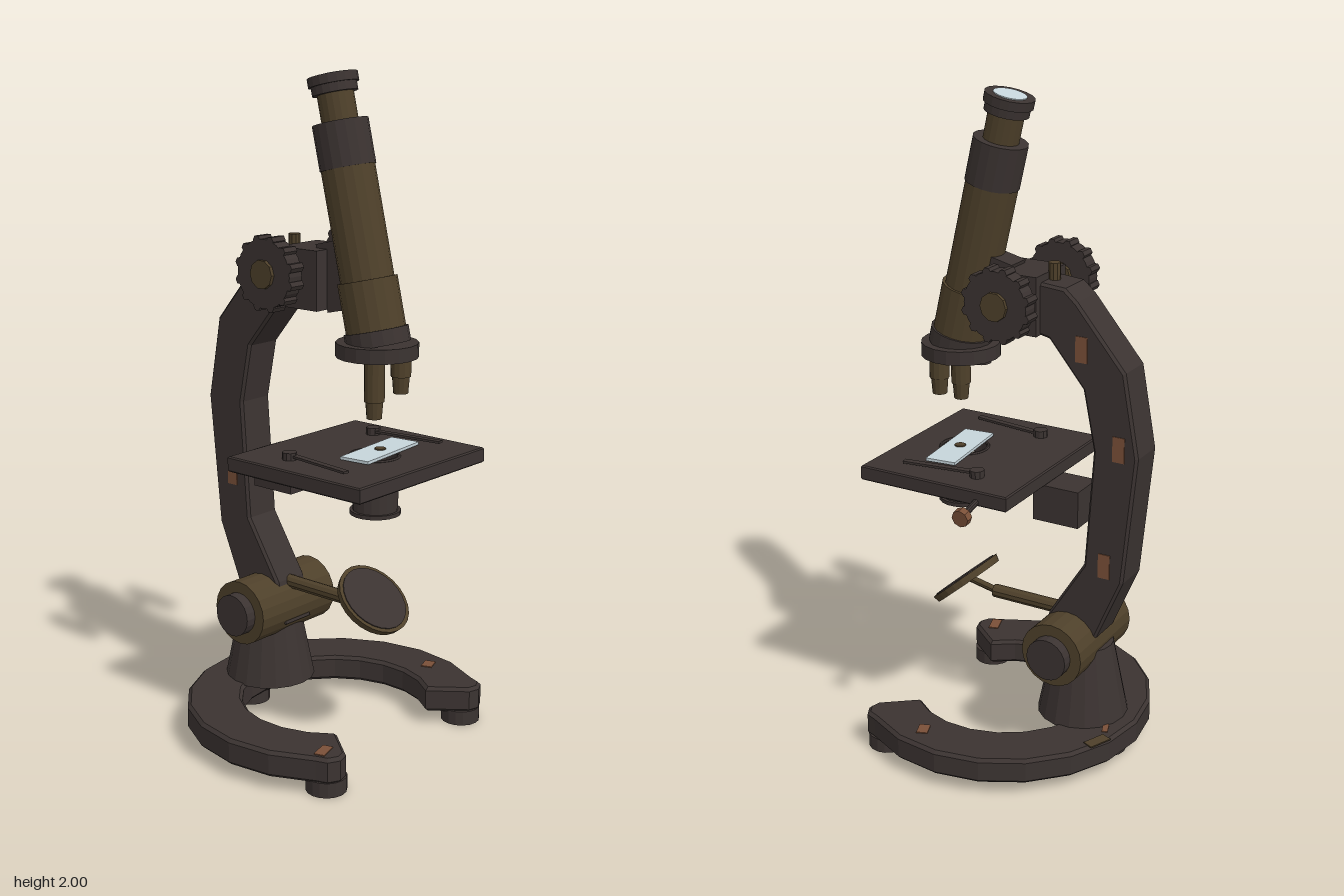
import * as THREE from 'three';

export function createModel() {
  const model = new THREE.Group();
  model.name = 'microscope';
  const mat = (name, color) => {
    const m = new THREE.MeshStandardMaterial({ color, flatShading: true });
    m.name = name;
    return m;
  };
  const iron = mat('dark iron', 0x3b3331);
  const brass = mat('aged brass', 0x4e402a);
  const copper = mat('copper', 0x7a5038);
  const glass = mat('pale glass', 0xc6d4da);

  // helpers
  const add = (name, geo, material, x = 0, y = 0, z = 0, parent = model) => {
    const m = new THREE.Mesh(geo, material);
    m.name = name;
    m.position.set(x, y, z);
    parent.add(m);
    return m;
  };
  const box = (w, h, d) => new THREE.BoxGeometry(w, h, d);
  const cyl = (rTop, rBottom, h, n = 20) => new THREE.CylinderGeometry(rTop, rBottom, h, n);
  const cylX = (r, h, n = 20) => cyl(r, r, h, n).rotateZ(Math.PI / 2);
  const rod = (name, a, b, r, material) => {
    const va = new THREE.Vector3(...a), vb = new THREE.Vector3(...b);
    const dir = vb.clone().sub(va);
    const m = add(name, cyl(r, r, dir.length(), 10), material);
    m.position.copy(va).add(vb).multiplyScalar(0.5);
    m.quaternion.setFromUnitVectors(new THREE.Vector3(0, 1, 0), dir.normalize());
    return m;
  };
  const extrude = (shape, depth, bevel) => new THREE.ExtrudeGeometry(shape, {
    depth: depth - 2 * bevel, bevelEnabled: true, bevelThickness: bevel,
    bevelSize: bevel, bevelOffset: -bevel, bevelSegments: 1, curveSegments: 20,
  });

  // horseshoe base, open to the front
  const pts = [];
  const arc = (r, from, to, n) => {
    for (let i = 0; i <= n; i++) {
      const a = THREE.MathUtils.degToRad(from + (to - from) * i / n);
      pts.push(new THREE.Vector2(r * Math.cos(a), 0.065 + r * Math.sin(a)));
    }
  };
  const tip = [[0.365, 0.354], [0.33, 0.372], [0.295, 0.362]];
  tip.slice().reverse().forEach(([x, z]) => pts.push(new THREE.Vector2(x, z)));
  arc(0.455, 34, -214, 14);
  tip.forEach(([x, z]) => pts.push(new THREE.Vector2(-x, z)));
  arc(0.285, -222, 42, 16);
  const base = extrude(new THREE.Shape(pts), 0.08, 0.01).rotateX(Math.PI / 2);
  add('horseshoeBase', base, iron, 0, 0.11, 0);
  for (const [x, z] of [[-0.32, 0.31], [0.32, 0.31], [0, -0.29]]) {
    add('foot', cyl(0.06, 0.06, 0.045, 16), iron, x, 0.0225, z);
  }

  // pillar and tilting joint
  add('pillar', cyl(0.092, 0.14, 0.24, 18), iron, 0, 0.235, -0.205);
  add('jointBarrel', cylX(0.1, 0.326), brass, 0, 0.365, -0.18);
  add('jointCaps', cylX(0.065, 0.394), iron, 0, 0.365, -0.18);

  // curved arm, drawn as (z, y)
  const profile = [
    [-0.04, 1.48], [-0.16, 1.47], [-0.20, 1.435], [-0.355, 1.25], [-0.40, 1.0],
    [-0.36, 0.6], [-0.275, 0.40], [-0.2, 0.3], [-0.085, 0.32], [-0.115, 0.45],
    [-0.232, 0.635], [-0.258, 1.0], [-0.222, 1.18], [-0.11, 1.315], [-0.04, 1.33],
  ].map(p => new THREE.Vector2(...p));
  const arm = extrude(new THREE.Shape(profile), 0.125, 0.008).rotateY(-Math.PI / 2);
  add('arm', arm, iron, 0.0545, 0, 0);

  // focus block, axle and knurled knobs
  add('focusBlock', box(0.172, 0.175, 0.15), iron, 0, 1.41, -0.008);
  add('tubeSlide', box(0.08, 0.2, 0.08), iron, 0, 1.42, 0.085).rotation.x = -0.232;
  add('blockScrew', cyl(0.018, 0.018, 0.05, 10), brass, 0, 1.5, -0.095);
  add('focusAxle', cylX(0.025, 0.4, 12), iron, 0, 1.437, -0.022);
  for (const s of [-1, 1]) {
    const knob = new THREE.Group();
    knob.name = 'focusKnob';
    knob.position.set(s * 0.187, 1.437, -0.022);
    model.add(knob);
    add('knobDisc', cylX(0.1, 0.052, 24), iron, 0, 0, 0, knob);
    add('knobHub', cylX(0.042, 0.074, 10), brass, 0, 0, 0, knob);
    for (let i = 0; i < 12; i++) {
      const a = (i + 0.5) * Math.PI / 6;
      add('knurl', cylX(0.014, 0.052, 6), iron, 0, 0.098 * Math.sin(a), 0.098 * Math.cos(a), knob);
    }
  }

  // inclined body tube: [name, start, end, radius, material] along its axis
  const tube = new THREE.Group();
  tube.name = 'bodyTube';
  tube.position.set(0, 1.243, 0.225);
  tube.rotation.x = -0.232;
  model.add(tube);
  const sections = [
    ['lowerRim', -0.01, 0.035, 0.094, iron], ['lowerSleeve', 0.035, 0.18, 0.087, brass],
    ['mainTube', 0.18, 0.5, 0.078, brass], ['upperSleeve', 0.5, 0.63, 0.081, iron],
    ['drawTube', 0.63, 0.72, 0.053, brass], ['eyepieceCap', 0.71, 0.735, 0.066, iron],
    ['eyepieceRim', 0.735, 0.762, 0.073, iron], ['eyepieceLens', 0.76, 0.765, 0.049, glass],
  ];
  for (const [name, a, b, r, m] of sections) {
    add(name, cyl(r, r, b - a, 18), m, 0, (a + b) / 2, 0, tube);
  }

  // nosepiece and objectives
  add('nosepiece', cyl(0.12, 0.12, 0.042, 18), iron, 0, 1.222, 0.222);
  for (const [x, low] of [[-0.06, 1.035], [0.06, 1.088]]) {
    add('objective', cyl(0.03, 0.03, 1.205 - low - 0.05, 12), brass, x, (1.205 + low + 0.05) / 2, 0.262);
    add('objectiveTip', cyl(0.026, 0.022, 0.05, 12), brass, x, low + 0.025, 0.262);
  }
  add('spareSocket', cyl(0.03, 0.03, 0.02, 12), iron, 0, 1.195, 0.152);

  // stage plate with light hole
  const plate = new THREE.Shape([[-0.287, -0.1], [0.287, -0.1], [0.287, 0.4], [-0.287, 0.4]]
    .map(p => new THREE.Vector2(...p)));
  plate.holes.push(new THREE.Path().absarc(0, 0.215, 0.07, 0, Math.PI * 2, true));
  add('stage', extrude(plate, 0.046, 0.004).rotateX(Math.PI / 2), iron, 0, 0.9, 0);
  add('stageBracket', box(0.12, 0.115, 0.15), iron, 0, 0.802, -0.135);
  add('holeRing', new THREE.TorusGeometry(0.073, 0.005, 6, 20).rotateX(Math.PI / 2), iron, 0, 0.905, 0.215);
  add('slide', box(0.27, 0.009, 0.096), glass, 0.03, 0.913, 0.212).rotation.y = 0.1;
  add('specimen', cyl(0.017, 0.017, 0.004, 12), brass, 0.03, 0.919, 0.212);
  for (const s of [-1, 1]) {
    add('clipScrew', cyl(0.022, 0.022, 0.022, 10), iron, s * 0.19, 0.915, 0.055);
    add('stageClip', box(0.02, 0.007, 0.25), iron, s * 0.2, 0.915, 0.168).rotation.y = s * 0.13;
  }

  // condenser under the stage
  add('condenser', cyl(0.067, 0.067, 0.105, 18), iron, 0, 0.792, 0.22);
  add('condenserRim', cyl(0.076, 0.076, 0.012, 18), iron, 0, 0.738, 0.22);

  // stage lever with copper knob
  rod('stageLever', [0.27, 0.875, 0], [0.345, 0.847, 0.008], 0.01, iron);
  add('leverKnob', cylX(0.027, 0.024, 8), copper, 0.348, 0.845, 0.01).rotation.z = -0.15;

  // mirror on its bracket
  const mirror = new THREE.Group();
  mirror.name = 'mirror';
  mirror.position.set(0, 0.457, 0.213);
  mirror.rotation.x = 0.71;
  model.add(mirror);
  add('mirrorFrame', cyl(0.12, 0.115, 0.022, 24), brass, 0, 0, 0, mirror);
  add('mirrorFace', cyl(0.108, 0.108, 0.004, 24), iron, 0, 0.012, 0, mirror);
  rod('mirrorStem', [0, 0.46, 0.2], [0, 0.44, 0.1], 0.011, brass);
  rod('mirrorRod', [0, 0.44, 0.11], [0, 0.44, -0.16], 0.021, brass);

  // worn patches: [x, y, z, width, depth, turn, material]
  const worn = [
    [-0.33, 0.121, 0.308, 0.062, 0.032, 0.3, copper], [0.365, 0.121, 0.148, 0.047, 0.034, 0.35, copper],
    [0.087, 0.121, -0.328, 0.045, 0.018, 0.35, copper], [0.165, 0.121, -0.34, 0.075, 0.035, -0.4, brass],
    [0.235, 0.901, 0.32, 0.034, 0.022, 0.3, copper], [-0.247, 0.901, -0.02, 0.045, 0.014, 0.35, copper],
  ];
  for (const [x, y, z, w, d, turn, m] of worn) {
    add('wornPatch', box(w, 0.004, d), m, x, y, z).rotation.y = turn;
  }
  for (const [x, y, z] of [[1, 1.3, -0.217], [1, 1.02, -0.34], [1, 0.645, -0.3], [-1, 0.77, -0.3]]) {
    add('armWornPatch', box(0.004, 0.077, 0.038), copper, x * 0.063, y, z);
  }
  return model;
}
